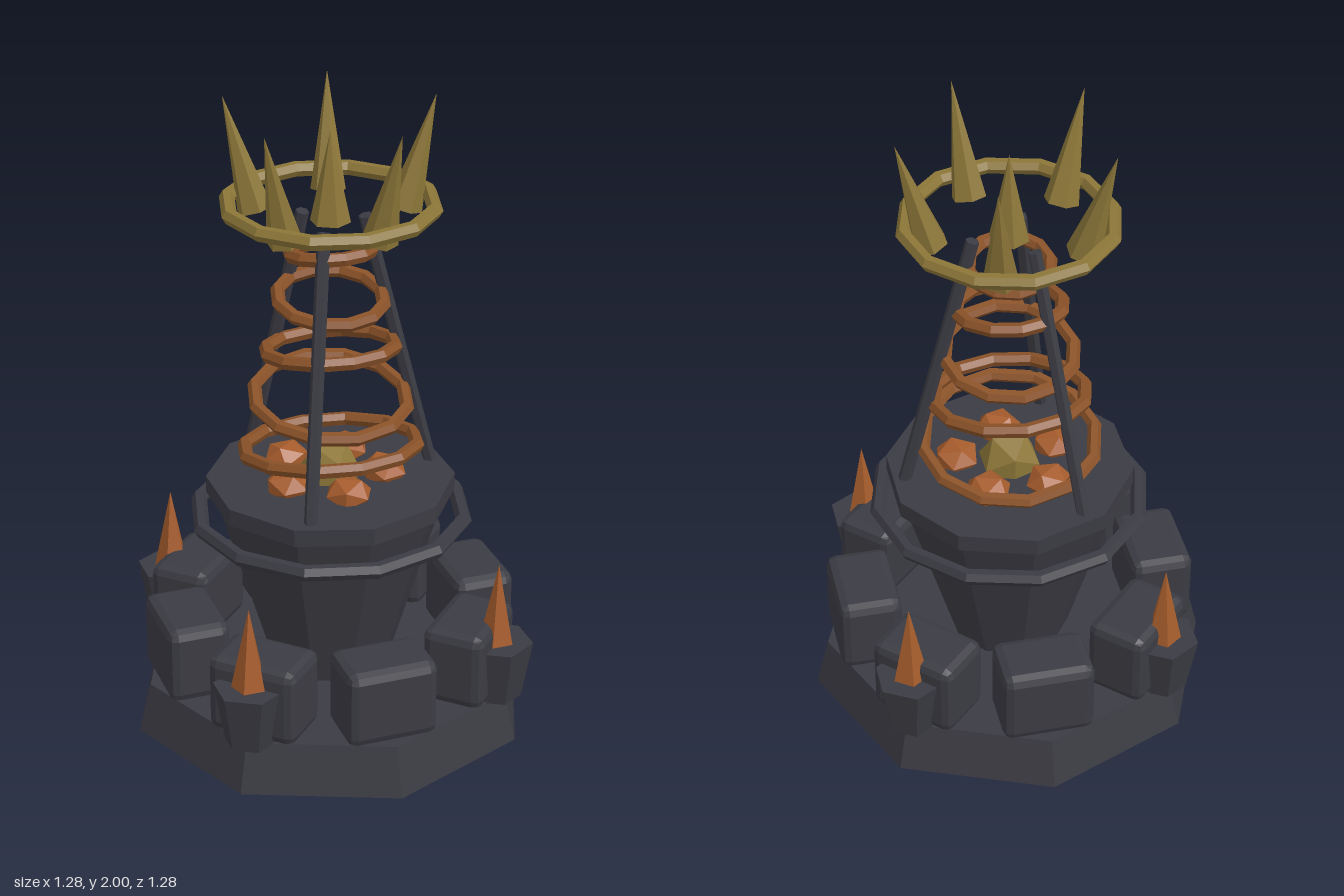
import * as THREE from 'three';
import { RoundedBoxGeometry } from 'three/addons/geometries/RoundedBoxGeometry.js';

const mat = (name, color) => {
  const m = new THREE.MeshStandardMaterial({ color });
  m.name = name;
  return m;
};

export function createModel() {
  const iron = mat('dark iron', 0x3b3b43);
  const copper = mat('copper', 0x8a5228);
  const amber = mat('amber crystal', 0xa65c2c);
  const gold = mat('old gold', 0x8c7638);
  const model = new THREE.Group();
  model.name = 'coilTower';

  // Adds a faceted mesh with one normal per face
  const add = (name, geometry, material, x = 0, y = 0, z = 0) => {
    const g = geometry.index ? geometry.toNonIndexed() : geometry;
    g.computeVertexNormals();
    const mesh = new THREE.Mesh(g, material);
    mesh.name = name;
    mesh.position.set(x, y, z);
    model.add(mesh);
    return mesh;
  };
  const drum = (name, rTop, rBottom, y0, y1, sides, material, x = 0, z = 0) =>
    add(name, new THREE.CylinderGeometry(rTop, rBottom, y1 - y0, sides), material, x, (y0 + y1) / 2, z);
  const ring = (name, radius, tube, y, sides, material) =>
    add(name, new THREE.TorusGeometry(radius, tube, 6, sides).rotateX(Math.PI / 2), material, 0, y, 0);
  const polar = (r, a, y) => new THREE.Vector3(r * Math.cos(a), y, r * Math.sin(a));
  // Tapered rod between two points
  const rod = (name, from, to, r0, r1, sides, material) => {
    const dir = to.clone().sub(from);
    const mid = from.clone().add(to).multiplyScalar(0.5);
    const mesh = add(name, new THREE.CylinderGeometry(r1, r0, dir.length(), sides), material, mid.x, mid.y, mid.z);
    mesh.quaternion.setFromUnitVectors(new THREE.Vector3(0, 1, 0), dir.normalize());
    return mesh;
  };

  // Octagonal plinth, flared core, deck and floating collar
  drum('plinth', 0.6, 0.64, 0, 0.16, 8, iron);
  drum('core', 0.365, 0.19, 0.16, 0.745, 10, iron);
  drum('deck', 0.387, 0.387, 0.742, 0.797, 10, iron);
  ring('collar', 0.42, 0.025, 0.675, 12, iron);

  // Chamfered stones around the plinth
  for (let i = 0; i < 8; i++) {
    const a = (i * Math.PI) / 4;
    const p = polar(0.475, a, 0.285);
    const stone = add('stone', new RoundedBoxGeometry(0.2, 0.25, 0.29, 1, 0.03), iron, p.x, p.y, p.z);
    stone.rotation.y = -a;
  }

  // Corner sockets holding crystal spikes
  for (const x of [-0.403, 0.403]) {
    for (const z of [-0.403, 0.403]) {
      drum('socket', 0.113, 0.08, 0.155, 0.345, 6, iron, x, z);
      const spike = add('crystalSpike', new THREE.ConeGeometry(0.057, 0.27, 5), amber, x, 0.475, z);
      spike.rotation.y = Math.PI;
    }
  }

  // Three leaning poles
  for (let i = 0; i < 3; i++) {
    const a = (i * Math.PI * 2) / 3;
    rod('pole', polar(0.335, a, 0.78), polar(0.11, a, 1.645), 0.021, 0.021, 6, iron);
  }

  // Coil rings, tilting alternately and shrinking upward
  [[0.9, 0.272], [1.065, 0.238], [1.23, 0.2], [1.395, 0.163], [1.545, 0.124]].forEach(([y, r], i) => {
    ring('coilRing', r, 0.022, y, 12, copper).rotation.x = i % 2 ? 0.16 : -0.16;
  });

  // Gems heaped on the deck
  add('centreGem', new THREE.IcosahedronGeometry(0.1), gold, 0, 0.815, 0);
  for (let i = 0; i < 5; i++) {
    const a = Math.PI / 2 + (i * Math.PI * 2) / 5;
    const p = polar(0.165, a, 0.812);
    const gem = add('gem', new THREE.IcosahedronGeometry(0.075), amber, p.x, p.y, p.z);
    gem.rotation.y = a * 1.7;
    gem.scale.y = 0.7;
  }

  // Crown ring, outward spikes and central spike
  ring('crownRing', 0.314, 0.024, 1.695, 12, gold);
  for (let i = 0; i < 5; i++) {
    const a = (i * Math.PI * 2) / 5;
    rod('crownSpike', polar(0.235, a, 1.652), polar(0.333, a, 2), 0.055, 0, 6, gold);
  }
  drum('centreSpike', 0, 0.062, 1.64, 1.925, 6, gold);

  return model;
}
